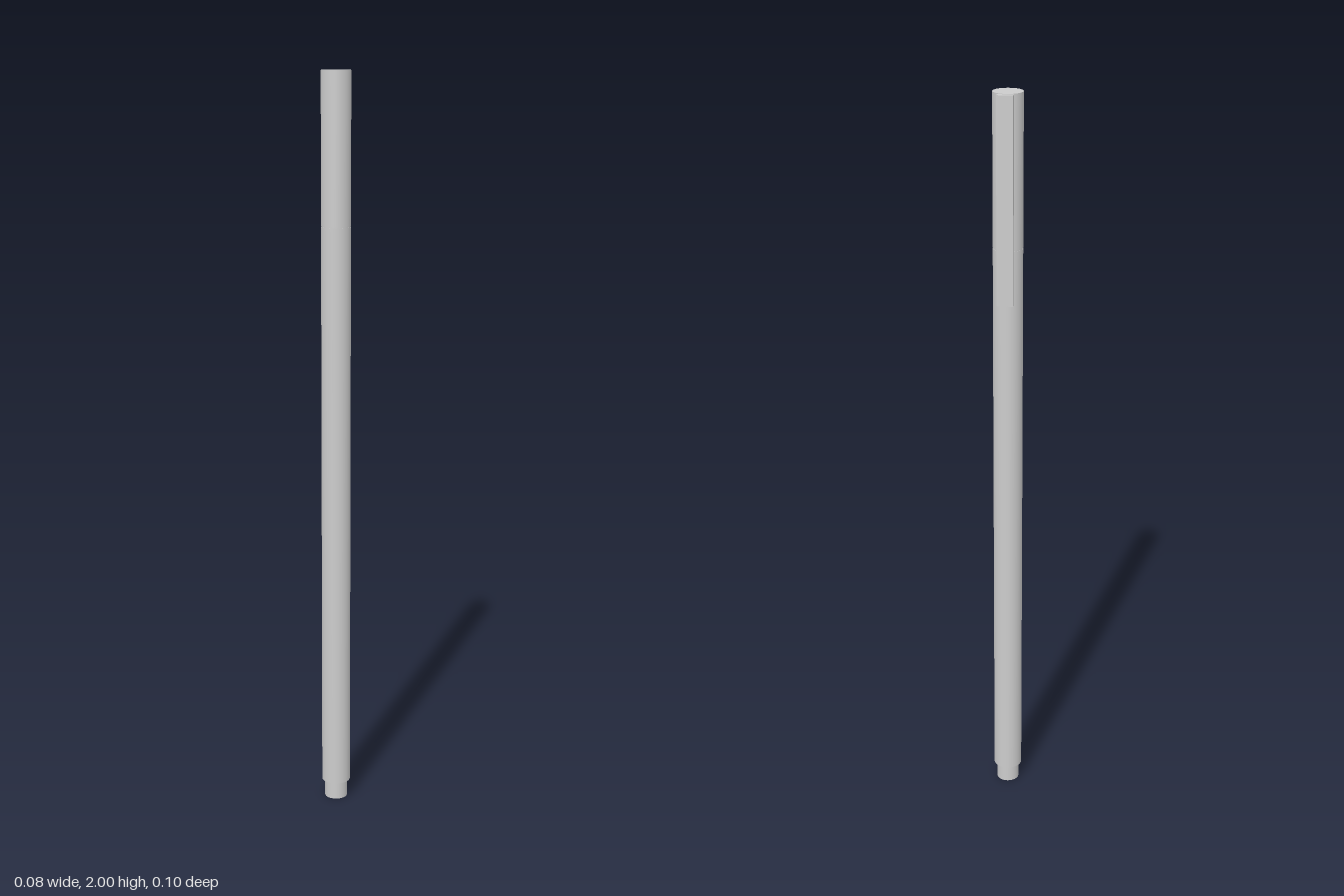
import * as THREE from 'three';

const R = 0.039;        // barrel radius
const AXIS_Z = 0.009;   // pen axis, shifted forward to balance the clip

export function createModel() {
  const pen = new THREE.Group();
  pen.name = 'pen';
  const material = new THREE.MeshStandardMaterial({ color: 0xcccccc });

  const add = (name, geometry, y, z) => {
    const mesh = new THREE.Mesh(geometry, material);
    mesh.name = name;
    mesh.position.set(0, y, z);
    pen.add(mesh);
  };
  // Round section spanning y0..y1
  const section = (name, r, y0, y1) =>
    add(name, new THREE.CylinderGeometry(r, r, y1 - y0, 64), (y0 + y1) / 2, AXIS_Z);
  // Box spanning y0..y1 and z0..z1
  const block = (name, width, y0, y1, z0, z1) =>
    add(name, new THREE.BoxGeometry(width, y1 - y0, z1 - z0), (y0 + y1) / 2, (z0 + z1) / 2);

  // Stepped end plug, barrel, fine seam and cap
  section('endPlug', 0.031, 0, 0.05);
  section('barrel', R, 0.05, 1.603);
  section('seam', R - 0.0008, 1.603, 1.606);
  section('cap', R, 1.606, 2);

  // Flat pocket clip on the back, held by a small bridge near the top
  block('clip', 0.042, 1.465, 2, -0.049, -0.0355);
  block('clipBridge', 0.009, 1.895, 1.985, -0.036, -0.027);

  return pen;
}
